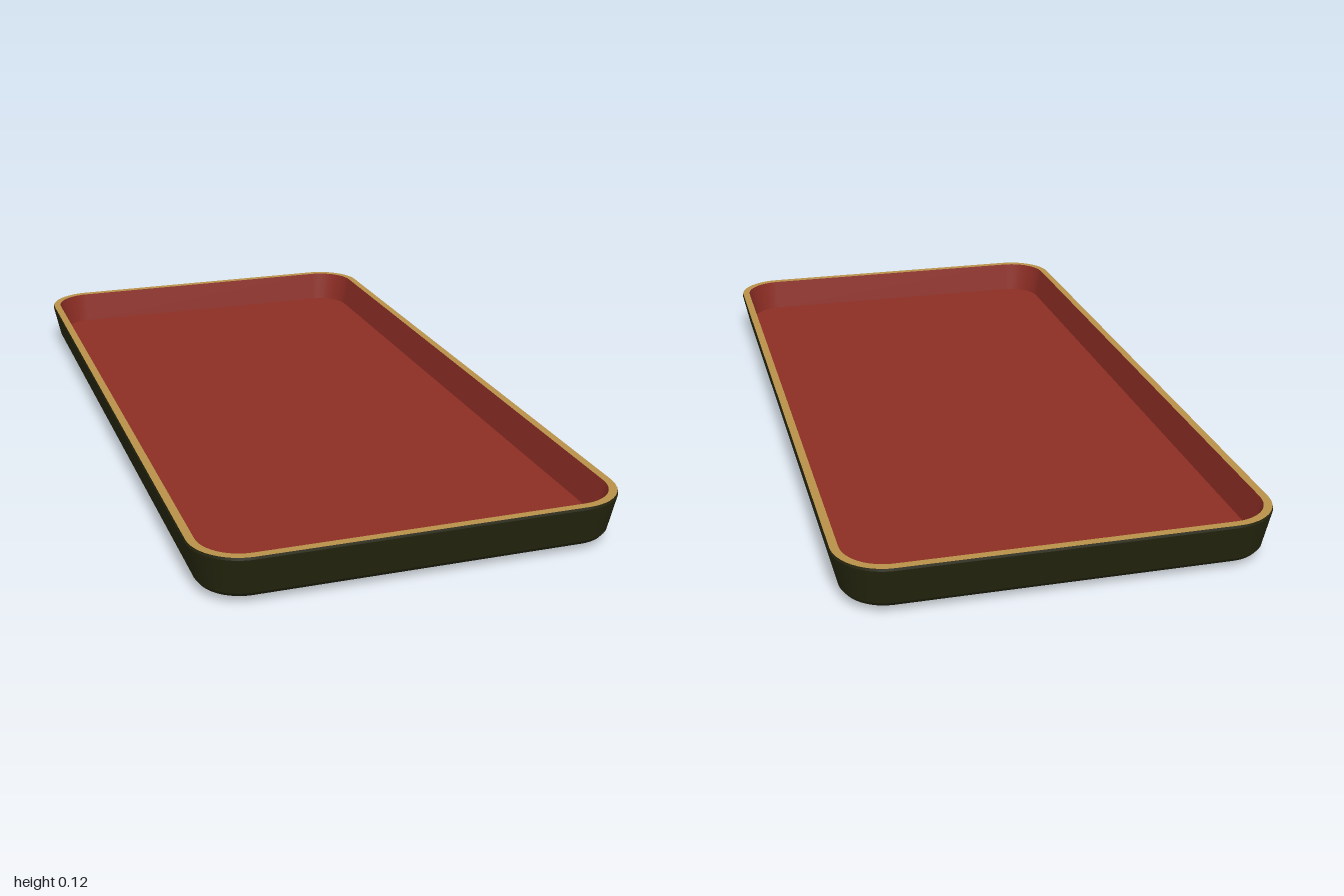
import * as THREE from 'three';

const HALF_X = 0.52, HALF_Z = 1.0, RADIUS = 0.125, ARC = 12;

// Rounded-rectangle outline, inset from the outer lip, at height y
function ring(inset, y) {
  const pts = [], r = RADIUS - inset;
  const cx = HALF_X - RADIUS, cz = HALF_Z - RADIUS;
  const corners = [[1, 1], [-1, 1], [-1, -1], [1, -1]];
  corners.forEach(([sx, sz], q) => {
    for (let i = 0; i <= ARC; i++) {
      const a = (q + i / ARC) * Math.PI / 2;
      pts.push([sx * cx + r * Math.cos(a), y, sz * cz + r * Math.sin(a)]);
    }
  });
  return pts;
}

// Surface strip from one ring to the next
function band(a, b) {
  const A = ring(...a), B = ring(...b), n = A.length, index = [];
  for (let i = 0; i < n; i++) {
    const j = (i + 1) % n;
    index.push(i, n + i, j, j, n + i, n + j);
  }
  const g = new THREE.BufferGeometry();
  g.setAttribute('position', new THREE.Float32BufferAttribute([...A, ...B].flat(), 3));
  g.setIndex(index);
  g.computeVertexNormals();
  return g;
}

// Flat panel filling a ring, facing up or down
function panel(inset, y, up) {
  const shape = new THREE.Shape(ring(inset, 0).map(p => new THREE.Vector2(p[0], p[2])));
  const g = new THREE.ShapeGeometry(shape);
  g.rotateX(up ? -Math.PI / 2 : Math.PI / 2);
  g.translate(0, y, 0);
  return g;
}

export function createModel() {
  const tray = new THREE.Group();
  tray.name = 'tray';
  const mat = (name, color) => Object.assign(new THREE.MeshStandardMaterial({ color }), { name });
  const dark = mat('dark lacquer', 0x25250f);
  const red = mat('red lacquer', 0x8c2d24);
  const gold = mat('gold rim', 0xb8914a);
  const wood = mat('foot wood', 0x2b2513);

  const add = (name, geometry, material) => {
    const m = new THREE.Mesh(geometry, material);
    m.name = name;
    tray.add(m);
    return m;
  };

  // Profile points: [inset, height]
  const lip = [0, 0.119], edge = [0.002, 0.125], inner = [0.022, 0.125];
  const flare = [0.019, 0.03], base = [0.027, 0.02], floor = [0.038, 0.04];

  // Outer shell
  add('outerWall', band(flare, lip), dark);
  add('lipEdge', band(lip, edge), dark);
  add('bottomChamfer', band(base, flare), dark);
  add('underside', panel(base[0], base[1], false), dark);

  // Rim and inside
  add('rim', band(edge, inner), gold);
  add('innerWall', band(inner, floor), red);
  add('floor', panel(floor[0], floor[1], true), red);

  // Two long runners underneath
  for (const s of [1, -1]) {
    const foot = add(s > 0 ? 'leftRunner' : 'rightRunner', new THREE.BoxGeometry(0.07, 0.024, 1.71), wood);
    foot.position.set(s * 0.355, 0.012, 0);
  }
  return tray;
}
